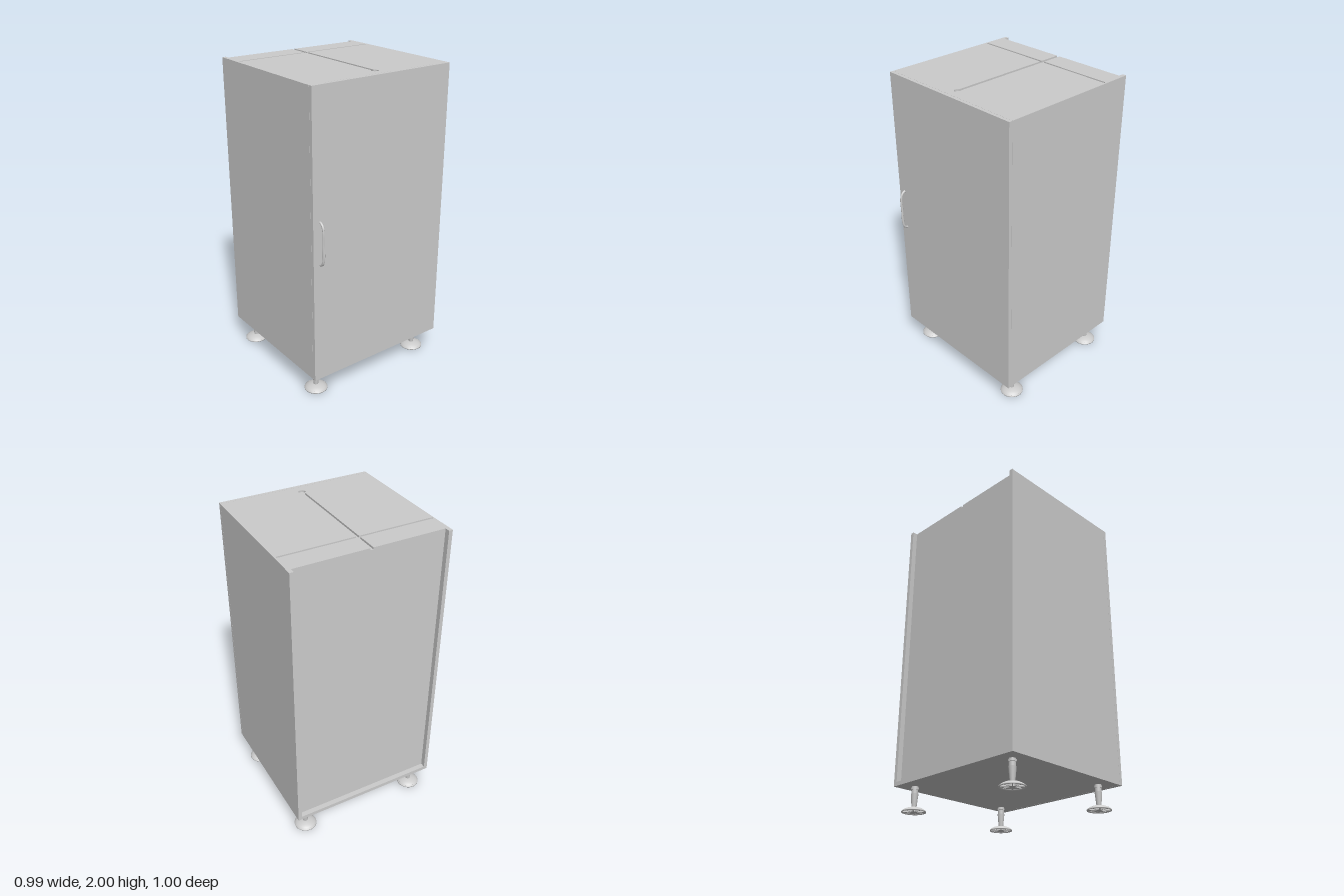
import * as THREE from 'three';

const grey = new THREE.MeshStandardMaterial({ color: 0xcccccc });
const greyTwoSided = new THREE.MeshStandardMaterial({ color: 0xcccccc, side: THREE.DoubleSide });

function add(parent, name, geometry, material = grey) {
  const mesh = new THREE.Mesh(geometry, material);
  mesh.name = name;
  parent.add(mesh);
  return mesh;
}

// Box given by its lower and upper corners
function box(parent, name, [x0, y0, z0], [x1, y1, z1]) {
  const mesh = add(parent, name, new THREE.BoxGeometry(x1 - x0, y1 - y0, z1 - z0));
  mesh.position.set((x0 + x1) / 2, (y0 + y1) / 2, (z0 + z1) / 2);
  return mesh;
}

const X0 = -0.498, X1 = 0.43, DOOR = 0.453, Z = 0.502;
const PANEL = -0.465, WALL_Z = 0.477;
const Y0 = 0.157, FLOOR = 0.182, TOP = 2, GROOVE = 0.012;

// Half of the top skin, outlined around the cross-shaped groove and its round end
function topSkin(side) {
  const w = 0.01, r = 0.022, cx = 0.36;
  const shape = new THREE.Shape();
  const to = (x, z) => shape.lineTo(x, z * side);
  shape.moveTo(X0, Z * side);
  to(X1, Z);
  to(X1, 0);
  const end = Math.PI - Math.asin(w / r);
  for (let i = 0; i <= 12; i++) {
    const a = (end * i) / 12;
    to(cx + r * Math.cos(a), r * Math.sin(a));
  }
  to(-0.312, w);
  to(-0.312, WALL_Z);
  to(-0.315, 0.491);
  to(-0.323, 0.491);
  to(-0.326, WALL_Z);
  to(-0.326, w);
  to(PANEL, w);
  to(PANEL, WALL_Z);
  to(X0, WALL_Z);
  shape.closePath();
  const geometry = new THREE.ExtrudeGeometry(shape, { depth: GROOVE, bevelEnabled: false });
  return geometry.rotateX(Math.PI / 2).translate(0, TOP, 0);
}

// Levelling foot: hollow domed pad with spokes below, tapered stem and collar
function makeFoot() {
  const foot = new THREE.Group();
  foot.name = 'foot';
  const lathe = (pts) => new THREE.LatheGeometry(pts.map(([r, y]) => new THREE.Vector2(r, y)), 32);
  add(foot, 'footPad', lathe([
    [0.066, 0.006], [0.068, 0], [0.074, 0], [0.074, 0.006], [0.062, 0.016],
    [0.045, 0.024], [0.025, 0.029], [0.015, 0.03],
  ]), greyTwoSided);
  add(foot, 'footPadUnderside', lathe([
    [0, 0.018], [0.018, 0.018], [0.045, 0.016], [0.066, 0.006],
  ]), greyTwoSided);
  const hub = add(foot, 'footHub', new THREE.CylinderGeometry(0.018, 0.018, 0.02, 24));
  hub.position.y = 0.012;
  for (let i = 0; i < 8; i++) {
    const geometry = new THREE.BoxGeometry(0.052, 0.01, 0.006).translate(0.042, 0.007, 0);
    add(foot, 'footSpoke', geometry.rotateY((i * Math.PI) / 4));
  }
  const stem = add(foot, 'footStem', new THREE.CylinderGeometry(0.023, 0.015, 0.085, 24));
  stem.position.y = 0.07;
  const neck = add(foot, 'footNeck', new THREE.CylinderGeometry(0.02, 0.02, 0.05, 24));
  neck.position.y = 0.135;
  const collar = add(foot, 'footCollar', new THREE.CylinderGeometry(0.025, 0.025, 0.012, 24));
  collar.position.y = 0.143;
  return foot;
}

export function createModel() {
  const model = new THREE.Group();
  model.name = 'cabinet';

  // Body: floor, inner case with recessed end panel, and side walls past it
  box(model, 'floorPanel', [X0, Y0, -Z], [X1, FLOOR, Z]);
  box(model, 'innerCase', [PANEL, FLOOR, -WALL_Z], [X1, TOP - GROOVE, WALL_Z]);
  for (const side of [1, -1]) {
    const wall = box(model, side > 0 ? 'frontWall' : 'backWall',
      [X0, FLOOR, WALL_Z], [X1, TOP - GROOVE, Z]);
    wall.position.z *= side;
    add(model, 'groovedTop', topSkin(side));
  }

  // Door with a bow handle
  box(model, 'door', [X1 + 0.001, Y0, -Z], [DOOR, TOP, Z]);
  const path = new THREE.CatmullRomCurve3([
    [0.448, 0.943], [0.462, 0.947], [0.478, 0.963], [0.485, 0.995], [0.485, 1.08],
    [0.485, 1.16], [0.478, 1.192], [0.462, 1.21], [0.448, 1.214],
  ].map(([x, y]) => new THREE.Vector3(x, y, 0.453)));
  add(model, 'doorHandle', new THREE.TubeGeometry(path, 48, 0.0075, 12));

  // Four feet
  for (const x of [-0.407, 0.331]) {
    for (const z of [-0.41, 0.412]) {
      const foot = makeFoot();
      foot.position.set(x, 0, z);
      model.add(foot);
    }
  }
  return model;
}
